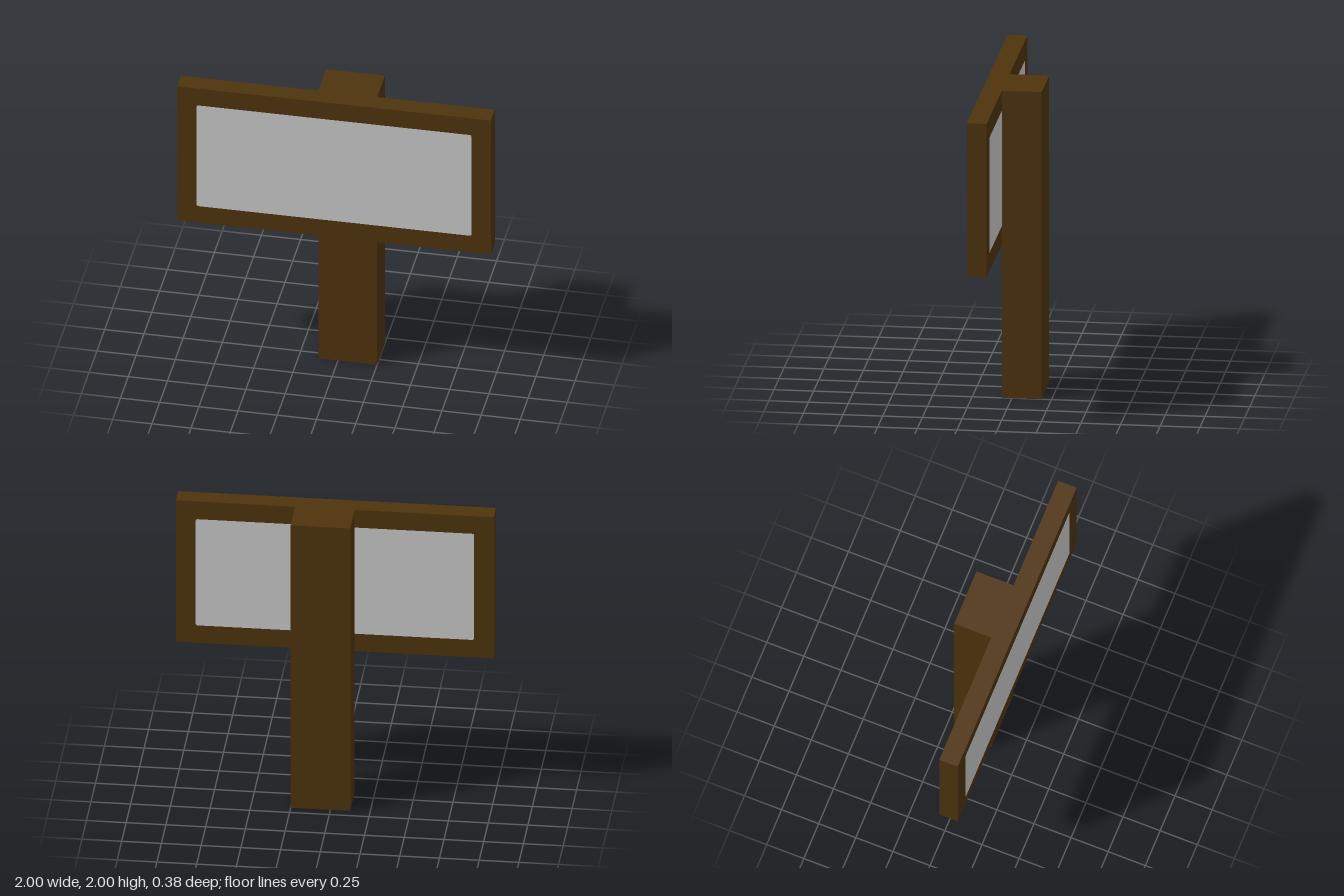
import * as THREE from 'three';

const wood = new THREE.MeshStandardMaterial({ color: 0x4f340d });
wood.name = 'dark wood';
const paper = new THREE.MeshStandardMaterial({ color: 0xcccccc });
paper.name = 'pale grey panel';

// Box given by its minimum and maximum corners
function block(name, min, max) {
  const size = max.map((v, i) => v - min[i]);
  const mesh = new THREE.Mesh(new THREE.BoxGeometry(...size), wood);
  mesh.position.set(...max.map((v, i) => (v + min[i]) / 2));
  mesh.name = name;
  return mesh;
}

// Rectangle with slightly rounded corners, centred on the origin
function roundedRect(w, h, r) {
  const x = w / 2, y = h / 2, s = new THREE.Shape();
  s.absarc(x - r, y - r, r, 0, Math.PI / 2);
  s.absarc(-x + r, y - r, r, Math.PI / 2, Math.PI);
  s.absarc(-x + r, -y + r, r, Math.PI, Math.PI * 1.5);
  s.absarc(x - r, -y + r, r, Math.PI * 1.5, Math.PI * 2);
  s.closePath();
  return s;
}

export function createModel() {
  const sign = new THREE.Group();
  sign.name = 'signpost';

  // Post, standing slightly off centre behind the board
  sign.add(block('post', [-0.125, 0, -0.1875], [0.25, 2, 0.0625]));
  sign.add(block('board', [-1, 1, 0.0625], [1, 2, 0.1875]));

  // Blank panels on the front and back faces of the board
  const face = new THREE.ShapeGeometry(roundedRect(1.752, 0.752, 0.012), 4);
  for (const side of [1, -1]) {
    const panel = new THREE.Mesh(face, paper);
    panel.name = side > 0 ? 'frontPanel' : 'backPanel';
    panel.position.set(0, 1.5, 0.125 + side * 0.0645);
    if (side < 0) panel.rotation.y = Math.PI;
    sign.add(panel);
  }
  return sign;
}
